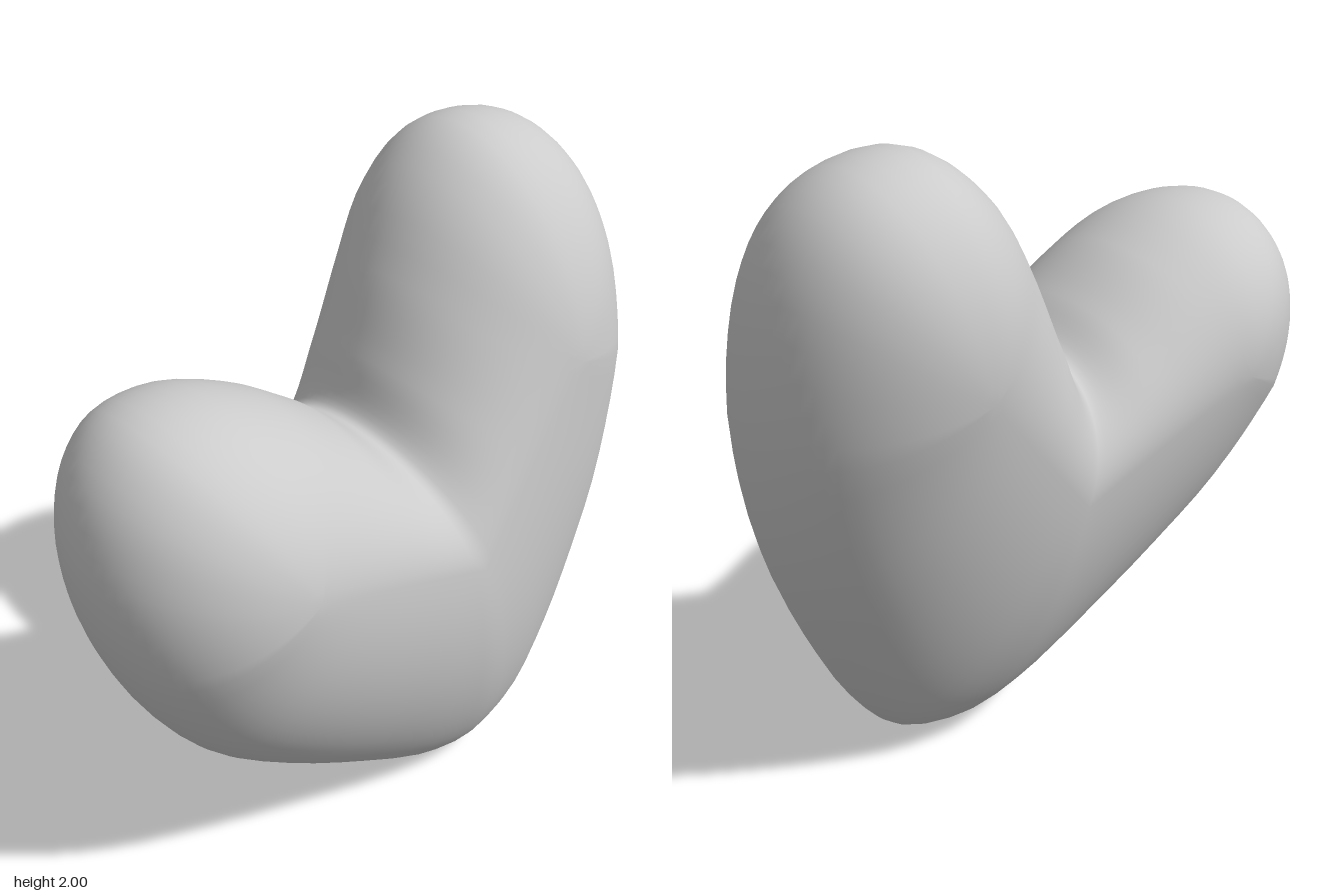
import * as THREE from 'three';
import { mergeVertices } from 'three/addons/utils/BufferGeometryUtils.js';

// Heart outline in its own plane, counter-clockwise from the bottom tip
const OUTLINE = [
  [0.25, 0], [0.44, 0.06], [0.58, 0.22], [0.72, 0.48], [0.85, 0.8], [0.92, 1.1], [0.935, 1.4],
  [0.89, 1.7], [0.8, 1.88], [0.67, 1.975], [0.47, 1.99], [0.3, 1.87], [0.16, 1.65], [0.06, 1.43],
  [-0.02, 1.27], [-0.15, 1.36], [-0.33, 1.48], [-0.55, 1.56], [-0.75, 1.54], [-0.88, 1.42],
  [-0.945, 1.24], [-0.95, 1.06], [-0.91, 0.88], [-0.83, 0.7], [-0.69, 0.51], [-0.46, 0.33],
  [-0.19, 0.165], [0.08, 0.03],
];

// V-shaped ridge joining the middles of both lobes
const BASE = new THREE.Vector2(0.1, 0.92);
const RIGHT = new THREE.Vector2(0.51, 1.42);
const LEFT = new THREE.Vector2(-0.52, 1.13);

// Stretches of the outline: [first point, last point, ridge from, ridge to, steps]
// Ridge position runs from -1 (left lobe) through 0 (base) to 1 (right lobe)
const STRETCHES = [
  [0, 5.5, 0, 1, 16], [5.5, 12, 1, 1, 22], [12, 14, 1, 0, 16],
  [14, 16, 0, -1, 16], [16, 22, -1, -1, 22], [22, 28, -1, 0, 16],
];
const RINGS = 36;

// Arched ribs run from the ridge on the front, over the outline, to the ridge on the back
function inflatedHeart() {
  const curve = new THREE.CatmullRomCurve3(
    OUTLINE.map(([x, y]) => new THREE.Vector3(x, y, 0)), true, 'centripetal');
  const positions = [];
  const index = [];

  for (const [first, last, from, to, steps] of STRETCHES) {
    for (let k = 0; k < steps; k++) {
      const rim = curve.getPoint(THREE.MathUtils.lerp(first, last, k / steps) / OUTLINE.length);
      const t = THREE.MathUtils.lerp(from, to, k / steps);
      const ridge = BASE.clone().lerp(t > 0 ? RIGHT : LEFT, Math.abs(t));
      const thickness = 0.41 + 0.015 * t * t;
      const taper = 0.15 * (1 - THREE.MathUtils.smoothstep(rim.y, 0, 0.8)); // leaner tip
      for (let i = 0; i <= RINGS; i++) {
        const s = Math.sin((Math.PI * i) / RINGS);
        const c = Math.cos((Math.PI * i) / RINGS);
        const x = THREE.MathUtils.lerp(ridge.x, rim.x, s);
        const y = THREE.MathUtils.lerp(ridge.y, rim.y, s);
        const lean = 0.17 - 0.12 * y;
        positions.push(x, y, lean + c * thickness * (1 - taper * s * s));
      }
    }
  }

  const row = RINGS + 1;
  const ribs = positions.length / 3 / row;
  for (let j = 0; j < ribs; j++) {
    const a = j * row;
    const b = ((j + 1) % ribs) * row;
    for (let i = 0; i < RINGS; i++) {
      index.push(a + i, a + i + 1, b + i + 1, a + i, b + i + 1, b + i);
    }
  }

  const open = new THREE.BufferGeometry();
  open.setAttribute('position', new THREE.Float32BufferAttribute(positions, 3));
  open.setIndex(index);
  const geometry = mergeVertices(open, 1e-4); // weld both sides along the ridge
  geometry.rotateY(THREE.MathUtils.degToRad(23)); // turned to one side

  // Centre on the ground
  geometry.computeBoundingBox();
  const { min, max } = geometry.boundingBox;
  geometry.translate(-(min.x + max.x) / 2, -min.y, -(min.z + max.z) / 2);
  geometry.computeVertexNormals();
  return geometry;
}

export function createModel() {
  const group = new THREE.Group();
  const heart = new THREE.Mesh(
    inflatedHeart(), new THREE.MeshStandardMaterial({ color: 0xcccccc }));
  heart.name = 'heart';
  group.add(heart);
  return group;
}
